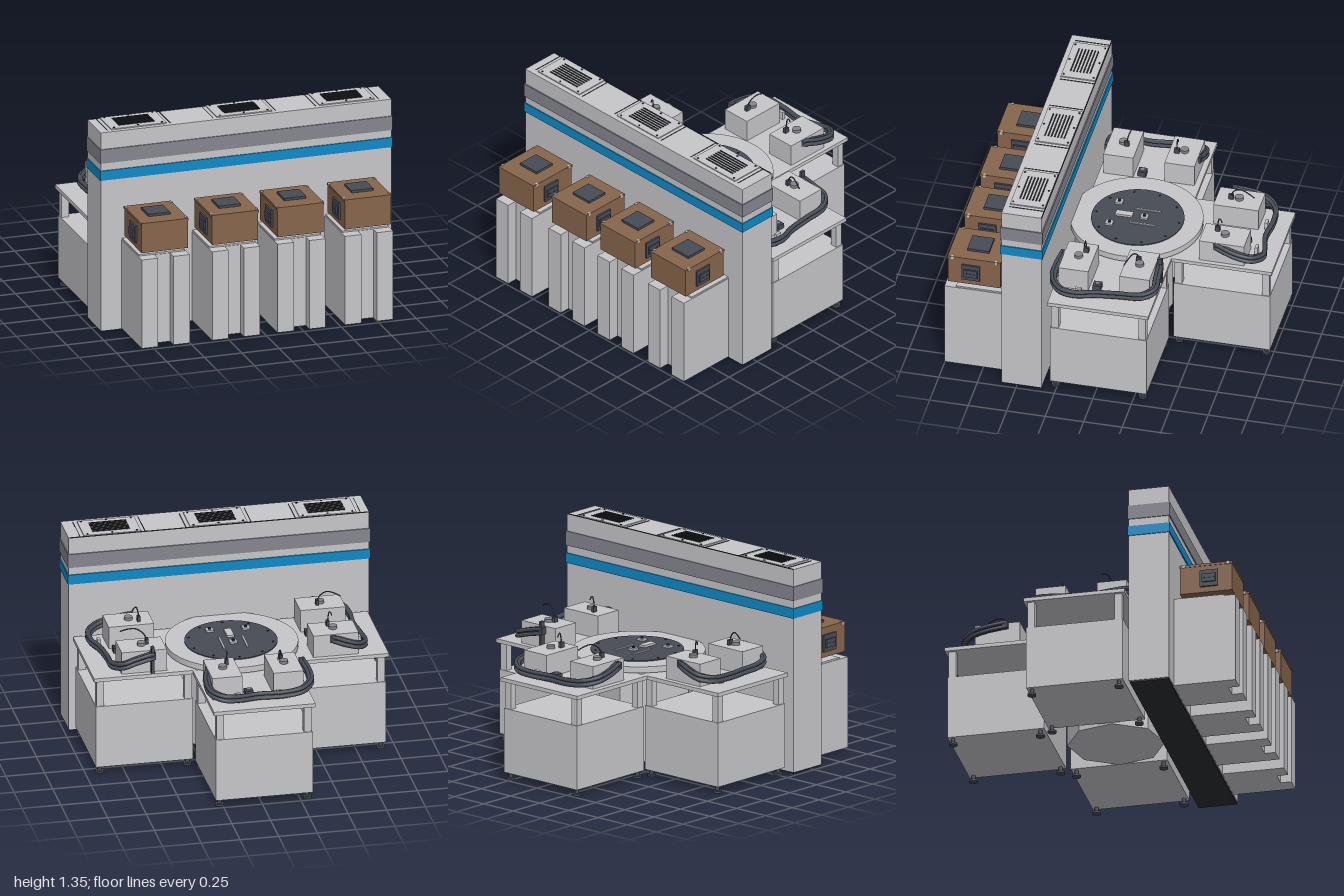
import * as THREE from 'three';

const mat = (name, color) => new THREE.MeshStandardMaterial({ name, color });

export function createModel() {
  const root = new THREE.Group();
  root.name = 'assemblyStation';
  const grey = mat('light grey', 0xc6c6c9);
  const midGrey = mat('band grey', 0x85858f);
  const blue = mat('band blue', 0x0c8ac8);
  const brown = mat('brown', 0x86654b);
  const dark = mat('charcoal', 0x464b55);
  const black = mat('slot black', 0x2a2c31);

  const add = (parent, name, geo, material, x = 0, y = 0, z = 0) => {
    const m = new THREE.Mesh(geo, material);
    m.name = name;
    m.position.set(x, y, z);
    parent.add(m);
    return m;
  };
  // box given by its minimum and maximum corners
  const box = (parent, name, material, x0, x1, y0, y1, z0, z1) =>
    add(parent, name, new THREE.BoxGeometry(x1 - x0, y1 - y0, z1 - z0), material,
      (x0 + x1) / 2, (y0 + y1) / 2, (z0 + z1) / 2);
  // upright cylinder standing on y0
  const cyl = (parent, name, material, r, x, y0, y1, z, sides = 20) =>
    add(parent, name, new THREE.CylinderGeometry(r, r, y1 - y0, sides), material, x, (y0 + y1) / 2, z);
  const group = (name, x = 0, y = 0, z = 0) => {
    const g = new THREE.Group();
    g.name = name;
    g.position.set(x, y, z);
    root.add(g);
    return g;
  };
  const tube = (parent, name, pts, r, segments = 64) => add(parent, name,
    new THREE.TubeGeometry(new THREE.CatmullRomCurve3(pts), segments, r, 8), dark);

  // tall wall with two colour bands
  const wall = group('wall');
  box(wall, 'wallBase', black, -0.965, 0.965, 0, 0.01, 0.345, 0.595);
  box(wall, 'wallBody', grey, -0.97, 0.97, 0.01, 1.34, 0.34, 0.6);
  box(wall, 'greyBand', midGrey, -0.976, 0.976, 1.135, 1.228, 0.333, 0.607);
  box(wall, 'blueBand', blue, -0.976, 0.976, 1.02, 1.085, 0.333, 0.607);
  box(wall, 'rearTopSeam', black, -0.965, 0.965, 1.338, 1.343, 0.338, 0.344);

  // roof vents with louvre slots and bolts
  for (const x of [-0.705, 0, 0.685]) {
    const vent = group('roofVent', x, 1.34, 0.456);
    box(vent, 'ventPlate', grey, -0.185, 0.185, 0, 0.007, -0.112, 0.112);
    for (let i = 0; i < 7; i++) {
      const z = -0.063 + i * 0.021;
      box(vent, 'ventSlot', black, -0.12, 0.12, 0.005, 0.012, z - 0.004, z + 0.004);
    }
    for (const bx of [-0.16, 0, 0.16]) for (const bz of [-0.097, 0.097])
      cyl(vent, 'ventBolt', black, 0.006, bx, 0.005, 0.012, bz, 8);
    for (const s of [-1, 1]) box(vent, 'ventSideSeam', black, s * 0.21 - 0.002, s * 0.21 + 0.002, 0, 0.003, -0.11, 0.11);
  }

  // front pedestals, grooved down the middle, each carrying a brown case
  for (const x of [-0.672, -0.202, 0.235, 0.685]) {
    const ped = group('frontPedestal', x);
    const s = new THREE.Shape();
    [[-0.16, 0.6], [0.16, 0.6], [0.16, 1], [0.052, 1], [0.052, 0.93], [-0.052, 0.93], [-0.052, 1], [-0.16, 1]]
      .forEach(([px, pz], i) => (i ? s.lineTo(px, -pz) : s.moveTo(px, -pz)));
    const g = new THREE.ExtrudeGeometry(s, { depth: 0.595, bevelEnabled: false });
    g.rotateX(-Math.PI / 2);
    add(ped, 'pedestalBody', g, grey, 0, 0.012, 0);
    box(ped, 'pedestalCap', grey, -0.155, 0.155, 0.6, 0.617, 0.6, 0.925);

    const crate = group('brownCase', x);
    box(crate, 'caseBody', brown, -0.154, 0.154, 0.645, 0.84, 0.638, 0.978);
    box(crate, 'caseLid', brown, -0.157, 0.157, 0.828, 0.844, 0.635, 0.981);
    box(crate, 'topPad', dark, -0.073, 0.073, 0.84, 0.86, 0.73, 0.872);
    for (const d of [-1, 1]) {
      const x0 = d * 0.154, pad = (name, m, t, y0, y1, z0, z1) =>
        box(crate, name, m, Math.min(x0, x0 + d * t), Math.max(x0, x0 + d * t), y0, y1, z0, z1);
      pad('sidePad', dark, 0.012, 0.682, 0.795, 0.77, 0.887);
      pad('sideHandle', dark, 0.022, 0.71, 0.765, 0.785, 0.872);
      pad('handleSeam', black, 0.023, 0.735, 0.739, 0.79, 0.867);
      for (const z of [0.665, 0.95]) box(crate, 'lidCatch', grey, d * 0.152 - 0.008, d * 0.152 + 0.008, 0.826, 0.847, z - 0.008, z + 0.008);
    }
  }

  // work tables: cabinet, corner posts, top and levelling feet
  const tables = [['leftTable', 0.622, -0.02], ['rightTable', -0.625, -0.02], ['backTable', -0.015, -0.672]];
  for (const [name, x, z] of tables) {
    const t = group(name, x, 0, z);
    box(t, 'tableCabinet', grey, -0.313, 0.313, 0.045, 0.465, -0.313, 0.313);
    box(t, 'tableTop', grey, -0.328, 0.328, 0.642, 0.667, -0.328, 0.328);
    for (const sx of [-1, 1]) for (const sz of [-1, 1]) {
      const px = sx * 0.283, pz = sz * 0.283;
      box(t, 'cornerPost', grey, px - 0.024, px + 0.024, 0.465, 0.642, pz - 0.024, pz + 0.024);
      cyl(t, 'footPad', dark, 0.028, px, 0, 0.014, pz, 16);
      cyl(t, 'footStem', dark, 0.013, px, 0.014, 0.045, pz, 12);
    }
  }

  // turntable on an octagonal column
  const turn = group('turntable', 0, 0, -0.05);
  const column = cyl(turn, 'octagonColumn', grey, 0.31, 0, 0.04, 0.66, 0.083, 8);
  column.material = grey;
  column.geometry = column.geometry.toNonIndexed();
  column.geometry.computeVertexNormals();
  column.rotation.y = 0.15;
  cyl(turn, 'turntableRing', grey, 0.385, 0, 0.66, 0.68, 0, 64);
  cyl(turn, 'turntableDisc', grey, 0.422, 0, 0.677, 0.717, 0, 64);
  cyl(turn, 'darkDisc', dark, 0.295, 0.006, 0.715, 0.723, -0.008, 64);
  for (let i = 0; i < 10; i++) {
    const a = (i + 0.5) / 10 * Math.PI * 2;
    cyl(turn, 'discBolt', black, 0.007, 0.006 + Math.cos(a) * 0.268, 0.72, 0.727, -0.008 + Math.sin(a) * 0.268, 8);
  }
  for (const [x, z] of [[0, -0.05], [-0.12, 0.142], [0.112, 0.152]]) {
    box(turn, 'fixtureBlock', grey, x - 0.024, x + 0.024, 0.72, 0.735, z - 0.024, z + 0.024);
    cyl(turn, 'fixturePin', black, 0.01, x, 0.735, 0.745, z, 12);
  }
  box(turn, 'centreBlock', grey, -0.023, 0.023, 0.72, 0.737, 0.026, 0.136);
  for (const s of [-1, 1]) box(turn, 'discRail', grey, s * 0.075 - 0.006, s * 0.075 + 0.006, 0.72, 0.73, -0.14, 0.03);

  // equipment boxes with a round knob each
  const units = [];
  for (const s of [-1, 1]) for (const z of [-0.215, 0.182]) units.push([s * 0.619, z, 0.146, 0.097]);
  units.push([-0.208, -0.667, 0.097, 0.146], [0.187, -0.667, 0.097, 0.146]);
  for (const [x, z, hx, hz] of units) {
    const u = group('equipmentBox', x, 0, z);
    box(u, 'boxBody', grey, -hx, hx, 0.667, 0.815, -hz, hz);
    cyl(u, 'boxKnob', midGrey, 0.027, 0, 0.815, 0.835, 0);
  }

  // small sensor blocks on the tables
  for (const [x, z] of [[0.042, -0.775], [-0.517, 0.035], [0.722, 0.035]]) {
    const b = group('sensorBlock', x, 0, z);
    box(b, 'sensorBase', dark, -0.027, 0.027, 0.667, 0.7, -0.027, 0.027);
    cyl(b, 'sensorCap', midGrey, 0.016, 0, 0.7, 0.708, 0, 12);
  }
  for (const [x, z, w, d] of [[-0.8, -0.155, 0.01, 0.02], [0.82, 0.135, 0.01, 0.02], [-0.14, -0.86, 0.02, 0.01], [0.13, -0.86, 0.02, 0.01]])
    box(root, 'hoseClip', grey, x - w, x + w, 0.667, 0.72, z - d, z + d);

  // thin wires arching over the equipment boxes, with a connector at the foot
  const wires = [
    [-0.2, -0.615, -0.145, -0.78], [0.15, -0.61, 0.155, -0.64], [0.58, -0.2, 0.74, -0.14],
    [0.56, 0.145, 0.6, 0.15], [-0.595, 0.155, -0.735, 0.1], [-0.595, -0.17, -0.62, -0.175],
    [0.57, -0.335, 0.62, -0.315],
  ];
  wires.forEach(([x0, z0, x1, z1], i) => {
    const w = group('sensorWire');
    const p = (t, y) => new THREE.Vector3(x0 + (x1 - x0) * t, y, z0 + (z1 - z0) * t);
    const foot = i === 6 ? 0.667 : 0.815;
    box(w, 'wireConnector', dark, x0 - 0.01, x0 + 0.01, foot, 0.85, z0 - 0.016, z0 + 0.016);
    if (i < 6) tube(w, 'wire', [p(0, 0.84), p(0.12, 0.88), p(0.4, 0.91), p(0.7, 0.905), p(1, 0.885)], 0.004, 24);
  });

  // sagging hose bundles running round the outside of each table
  const hoses = [
    ['rightHoses', [[-0.6, -0.31], [-0.68, -0.325], [-0.76, -0.32], [-0.82, -0.25], [-0.82, -0.1], [-0.805, 0.05],
      [-0.81, 0.18], [-0.785, 0.26], [-0.71, 0.285], [-0.6, 0.278]]],
    ['leftHoses', [[0.57, -0.335], [0.68, -0.34], [0.76, -0.34], [0.815, -0.27], [0.82, -0.12], [0.835, 0.03],
      [0.87, 0.14], [0.865, 0.24], [0.79, 0.305], [0.68, 0.31], [0.58, 0.29]]],
    ['backHoses', [[-0.335, -0.61], [-0.355, -0.72], [-0.345, -0.82], [-0.28, -0.885], [-0.16, -0.9], [0, -0.885],
      [0.12, -0.91], [0.22, -0.92], [0.295, -0.86], [0.305, -0.75], [0.27, -0.63]]],
  ];
  for (const [name, path] of hoses) {
    const h = group(name);
    const n = path.length - 1;
    const cx = path.reduce((a, p) => a + p[0], 0) / (n + 1);
    const cz = path.reduce((a, p) => a + p[1], 0) / (n + 1);
    for (const [k, dy] of [[0.97, 0.014], [1.03, 0.016], [0.97, -0.012], [1.03, -0.014]]) {
      tube(h, 'hose', path.map(([x, z], i) => new THREE.Vector3(
        cx + (x - cx) * k, 0.787 + dy - 0.085 * Math.sin(Math.PI * i / n), cz + (z - cz) * k)), 0.013);
    }
    for (const [x, z] of [path[0], path[n]])
      box(h, 'hoseCoupling', dark, x - 0.018, x + 0.018, 0.765, 0.81, z - 0.018, z + 0.018);
  }
  return root;
}
